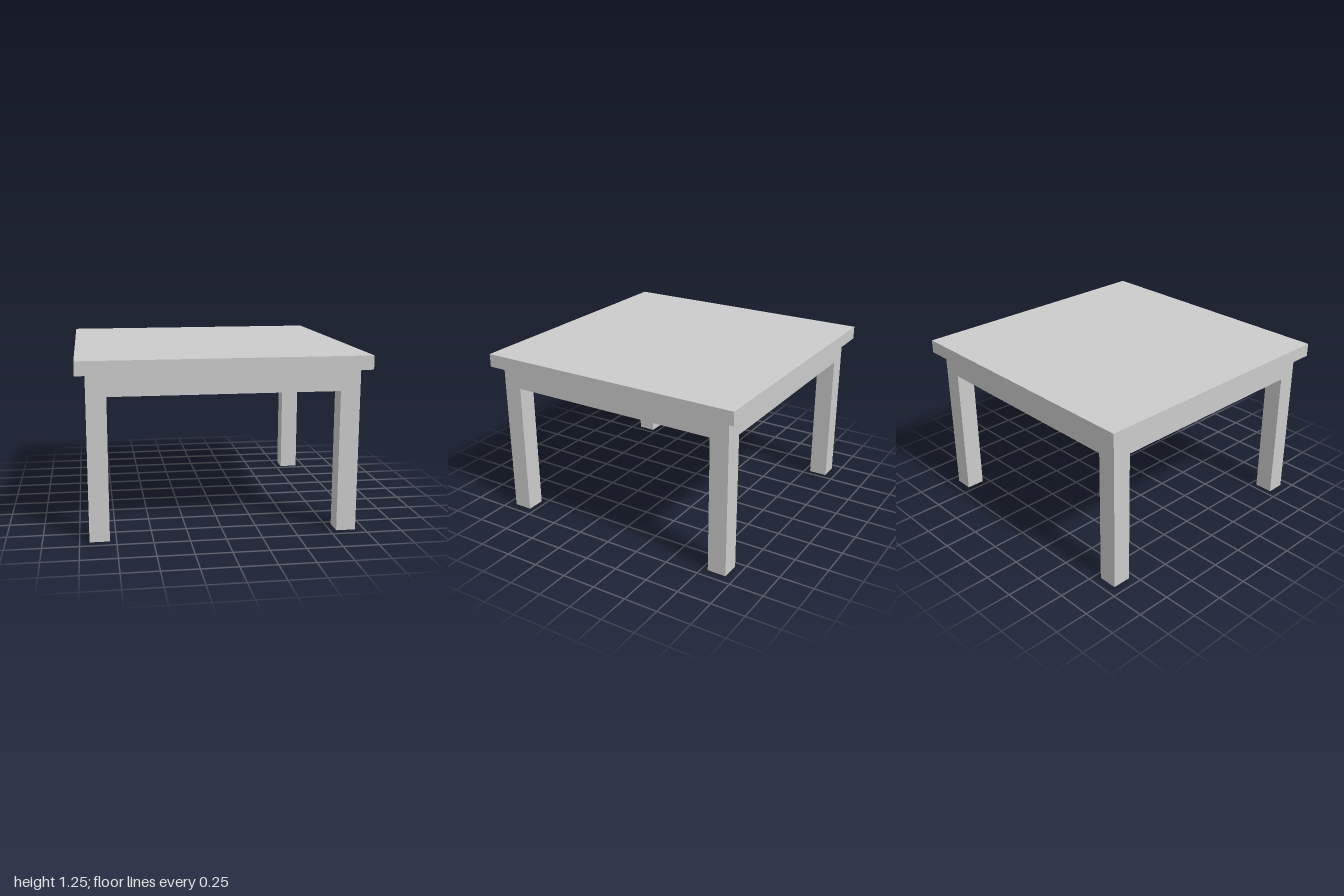
import * as THREE from 'three';

const OUTER = 0.933;          // outer face of legs and apron
const INNER = 0.795;          // inner face of legs and apron
const APRON_BOTTOM = 1.0;
const TOP_BOTTOM = 1.153;
const TOP = 1.25;

function square(Path, half) {
  return new Path([[-1, -1], [1, -1], [1, 1], [-1, 1]].map(
    ([x, y]) => new THREE.Vector2(x * half, y * half)));
}

export function createModel() {
  const table = new THREE.Group();
  table.name = 'table';
  const material = new THREE.MeshStandardMaterial({ color: 0xcccccc });

  function add(name, geometry, x, y, z) {
    const mesh = new THREE.Mesh(geometry, material);
    mesh.name = name;
    mesh.position.set(x, y, z);
    table.add(mesh);
  }

  // Square slab top
  add('tableTop', new THREE.BoxGeometry(2, TOP - TOP_BOTTOM, 2), 0, (TOP + TOP_BOTTOM) / 2, 0);

  // Apron: square frame, as thick as the legs
  const frame = square(THREE.Shape, OUTER);
  frame.holes.push(square(THREE.Path, INNER));
  const apron = new THREE.ExtrudeGeometry(frame, { depth: TOP_BOTTOM - APRON_BOTTOM, bevelEnabled: false });
  apron.rotateX(-Math.PI / 2);
  add('apron', apron, 0, APRON_BOTTOM, 0);

  // Four legs, flush with the apron corners
  const width = OUTER - INNER;
  const centre = (OUTER + INNER) / 2;
  const leg = new THREE.BoxGeometry(width, APRON_BOTTOM, width);
  for (const [sx, side] of [[1, 'Left'], [-1, 'Right']]) {
    for (const [sz, end] of [[1, 'front'], [-1, 'back']]) {
      add(`${end}${side}Leg`, leg, sx * centre, APRON_BOTTOM / 2, sz * centre);
    }
  }
  return table;
}
